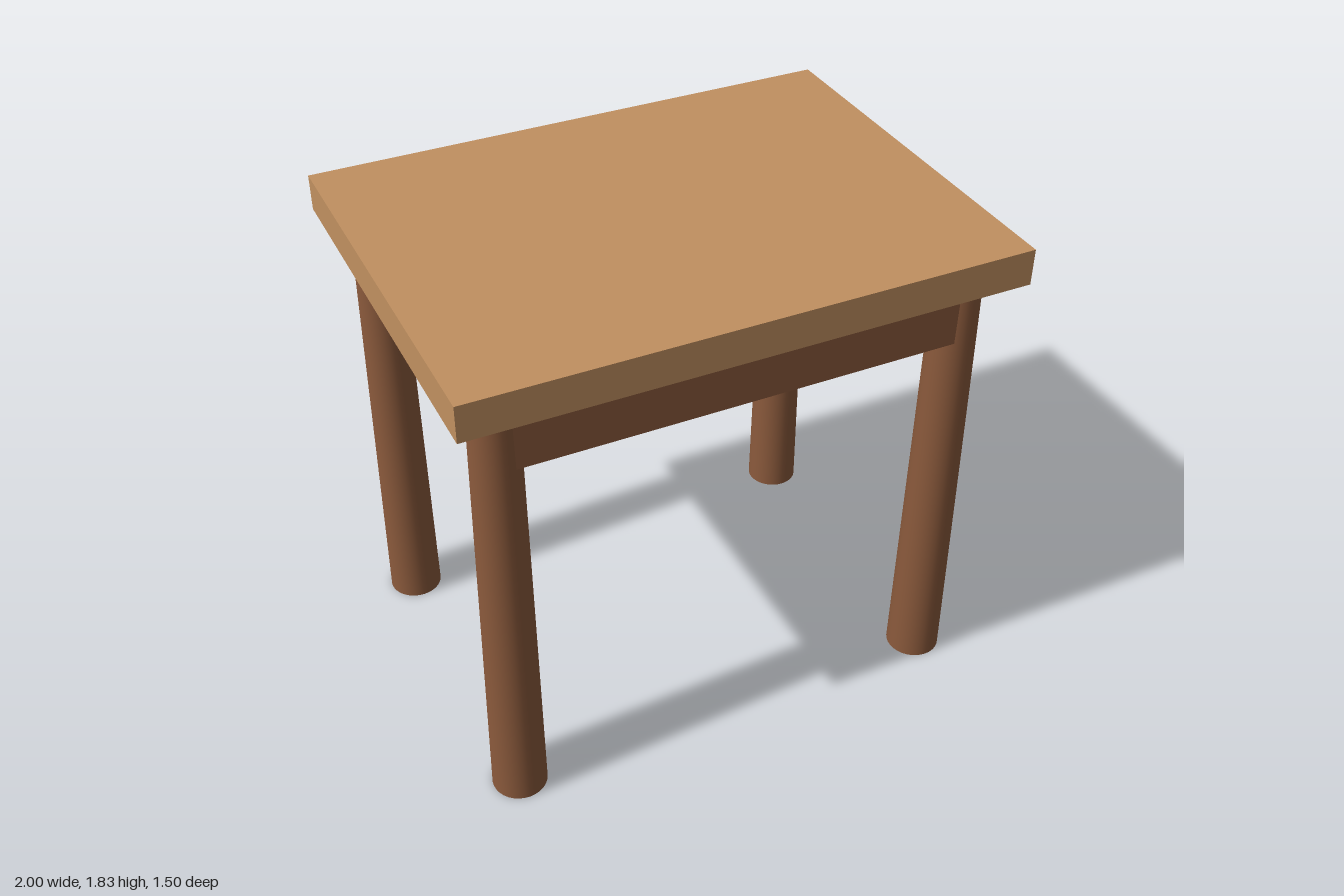
import * as THREE from 'three';

export function createModel() {
  const model = new THREE.Group();
  const topMat = new THREE.MeshStandardMaterial({ color: 0xc19060 });
  const legMat = new THREE.MeshStandardMaterial({ color: 0x8b5a3c });

  const LEG_HEIGHT = 1.7, LEG_X = 0.833, LEG_Z = 0.583;

  function add(name, geometry, material, x, y, z) {
    const mesh = new THREE.Mesh(geometry, material);
    mesh.name = name;
    mesh.position.set(x, y, z);
    model.add(mesh);
  }

  // Flat slab resting on the legs
  add('tableTop', new THREE.BoxGeometry(2, 0.133, 1.5), topMat, 0, LEG_HEIGHT + 0.0665, 0);

  // Round legs, slightly wider at the foot
  const leg = new THREE.CylinderGeometry(0.083, 0.1, LEG_HEIGHT, 32);
  // Rails joining the legs along the two long sides
  const rail = new THREE.BoxGeometry(LEG_X * 2, 0.233, 0.15);

  for (const [end, sz] of [['front', 1], ['back', -1]]) {
    add(end + 'Rail', rail, legMat, 0, LEG_HEIGHT - 0.1165, sz * LEG_Z);
    for (const [side, sx] of [['Left', 1], ['Right', -1]]) {
      add(end + side + 'Leg', leg, legMat, sx * LEG_X, LEG_HEIGHT / 2, sz * LEG_Z);
    }
  }
  return model;
}
